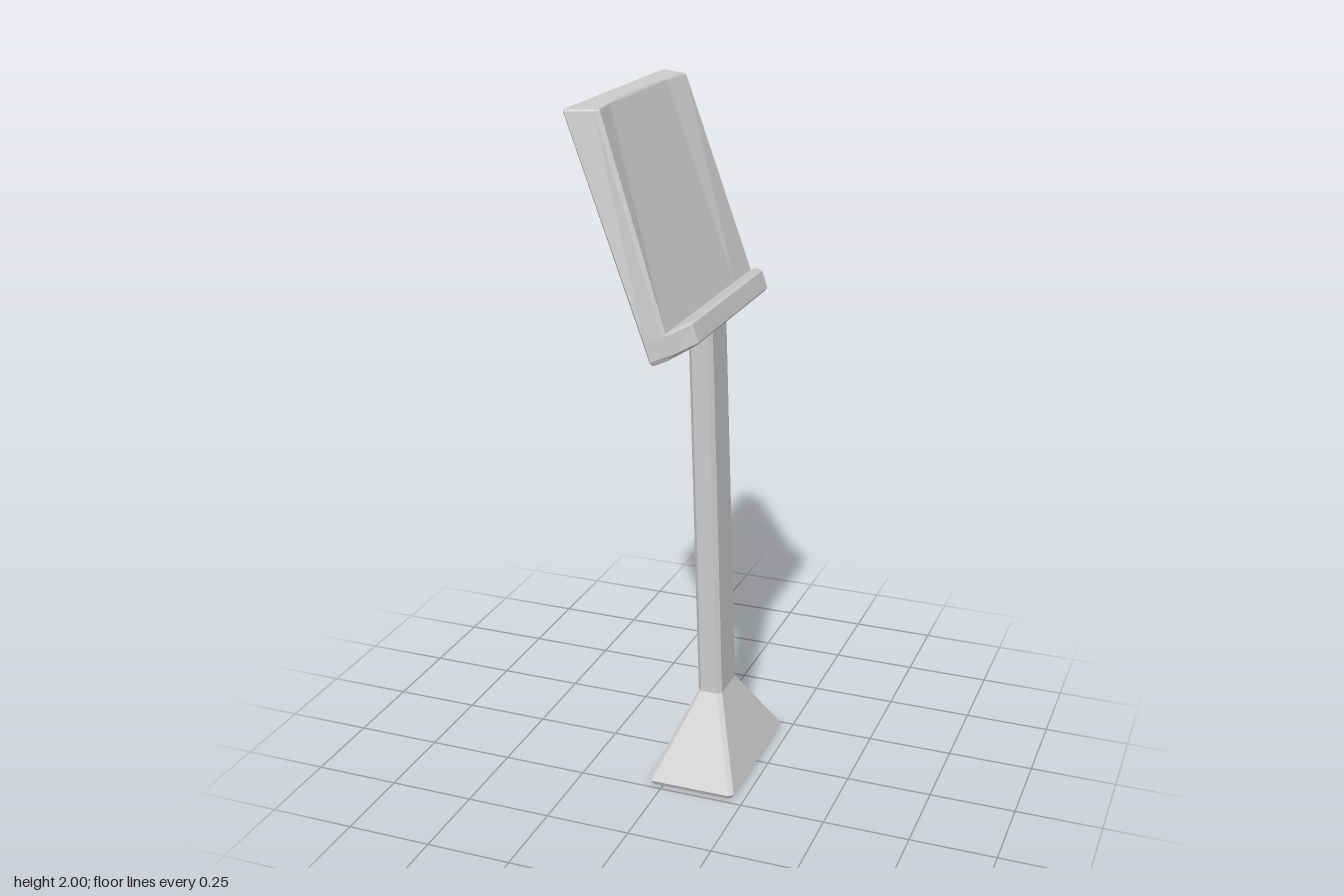
import * as THREE from 'three';

const material = new THREE.MeshStandardMaterial({ color: 0xcccccc, flatShading: true });

// Mirror a half section (back to front, on the +z side) into a closed ring.
function ring(half) {
  return [...half, ...half.map(([x, y, z]) => [x, y, -z]).reverse()];
}

// Rectangle section with chamfered corners; the level may slope from back to front.
function rectRing(x0, x1, z, c, y0, y1 = y0) {
  return ring([[x0, y0, z - c], [x0 + c, y0, z], [x1 - c, y1, z], [x1, y1, z - c]]);
}

// Closed solid through a stack of rings, bottom to top.
function loft(name, rings) {
  const pos = [];
  const n = rings[0].length;
  const tri = (a, b, c) => pos.push(...a, ...b, ...c);
  for (let k = 0; k < rings.length - 1; k++) {
    for (let i = 0; i < n; i++) {
      const j = (i + 1) % n;
      const [a, b, c, d] = [rings[k][i], rings[k][j], rings[k + 1][j], rings[k + 1][i]];
      tri(a, b, c);
      tri(a, c, d);
    }
  }
  const cap = (r, up) => {
    const mid = [0, 1, 2].map(q => r.reduce((s, p) => s + p[q], 0) / n);
    for (let i = 0; i < n; i++) {
      const j = (i + 1) % n;
      if (up) tri(mid, r[i], r[j]);
      else tri(mid, r[j], r[i]);
    }
  };
  cap(rings[0], false);
  cap(rings[rings.length - 1], true);
  const geometry = new THREE.BufferGeometry();
  geometry.setAttribute('position', new THREE.Float32BufferAttribute(pos, 3));
  geometry.computeVertexNormals();
  const mesh = new THREE.Mesh(geometry, material);
  mesh.name = name;
  return mesh;
}

export function createModel() {
  const group = new THREE.Group();
  group.name = 'lectern';

  // Flared foot
  group.add(loft('base', [
    rectRing(-0.04, 0.213, 0.23, 0.01, 0),
    rectRing(-0.046, 0.219, 0.236, 0.012, 0.012),
    rectRing(0.048, 0.122, 0.07, 0.012, 0.245),
  ]));

  // Slightly leaning column
  group.add(loft('post', [
    rectRing(0.048, 0.122, 0.07, 0.012, 0.245),
    rectRing(0.015, 0.086, 0.067, 0.012, 1.345, 1.378),
  ]));

  // Tilted reading board: sides taper toward the top, face is slightly hollow
  group.add(loft('board', [
    ring([[0.02, 1.338, 0.335], [0.028, 1.342, 0.345], [0.07, 1.362, 0.345], [0.08, 1.37, 0.335], [0.08, 1.37, 0.2]]),
    ring([[0.013, 1.348, 0.34], [0.02, 1.352, 0.352], [0.068, 1.376, 0.352], [0.078, 1.378, 0.342], [0.078, 1.378, 0.2]]),
    ring([[-0.005, 1.4, 0.34], [0.003, 1.404, 0.352], [0.052, 1.428, 0.35], [0.06, 1.432, 0.341], [0.058, 1.432, 0.2]]),
    ring([[-0.22, 1.995, 0.338], [-0.212, 1.995, 0.35], [-0.142, 1.995, 0.317], [-0.13, 1.995, 0.308], [-0.15, 1.995, 0.2]]),
    ring([[-0.217, 2, 0.335], [-0.21, 2, 0.345], [-0.144, 2, 0.313], [-0.134, 2, 0.304], [-0.155, 2, 0.2]]),
  ]));

  // Ledge along the lower edge, with clipped outer corners
  group.add(loft('ledge', [
    ring([[0.06, 1.359, 0.344], [0.088, 1.374, 0.344], [0.124, 1.391, 0.28]]),
    ring([[0.055, 1.368, 0.352], [0.09, 1.385, 0.352], [0.13, 1.4, 0.284]]),
    ring([[0.04, 1.418, 0.352], [0.076, 1.436, 0.352], [0.114, 1.449, 0.284]]),
    ring([[0.04, 1.424, 0.335], [0.07, 1.438, 0.335], [0.105, 1.454, 0.278]]),
  ]));

  return group;
}
